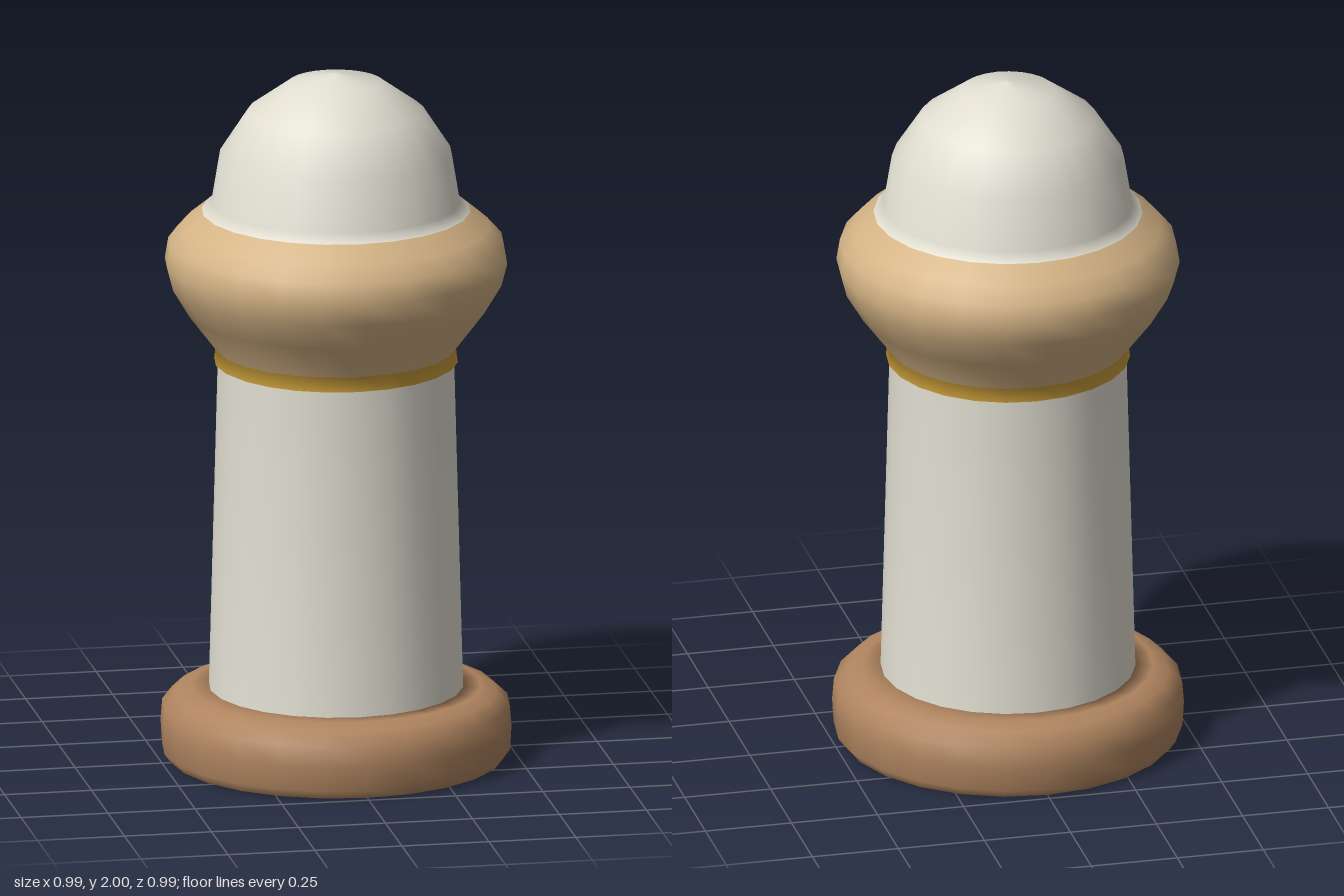
import * as THREE from 'three';

const SIDES = 24;

// Silhouette from foot to crown: [radius, height]
const profile = [
  [0.475, 0.005], [0.493, 0.03], [0.497, 0.1], [0.492, 0.16], [0.455, 0.195], [0.41, 0.21], [0.36, 0.21],
  [0.335, 1.155],
  [0.345, 1.16], [0.34, 1.2],
  [0.42, 1.305], [0.468, 1.385], [0.485, 1.45], [0.475, 1.51], [0.435, 1.555], [0.38, 1.6],
  [0.352, 1.625], [0.328, 1.77], [0.25, 1.89], [0.132, 1.974], [0, 2],
];

// Keep the rings from..to of the full turned shape, so shading flows between parts
function band(full, from, to) {
  const n = profile.length;
  const geometry = full.clone();
  const index = [];
  for (let i = 0; i < SIDES; i++) {
    for (let j = from; j < to; j++) {
      const a = i * n + j, b = a + n;
      index.push(a, b, a + 1, b + 1, a + 1, b);
    }
  }
  geometry.setIndex(index);
  return geometry;
}

function material(name, color) {
  const m = new THREE.MeshStandardMaterial({ color });
  m.name = name;
  return m;
}

export function createModel() {
  const group = new THREE.Group();
  group.name = 'turnedPeg';
  const white = material('offWhite', 0xe0ddd0);
  const brown = material('brownWood', 0xb08560);
  const sand = material('lightWood', 0xd4b385);
  const gold = material('gold', 0xd0a23c);

  const add = (name, geometry, mat) => {
    const mesh = new THREE.Mesh(geometry, mat);
    mesh.name = name;
    group.add(mesh);
    return mesh;
  };

  const full = new THREE.LatheGeometry(profile.map(([r, y]) => new THREE.Vector2(r, y)), SIDES);
  add('base', band(full, 0, 6), brown);
  add('column', band(full, 6, 7), white);
  add('goldRing', band(full, 7, 9), gold);
  add('collar', band(full, 9, 15), sand);
  add('dome', band(full, 15, 20), white);

  // Flat underside with a sharp edge
  const underside = add('underside', new THREE.CircleGeometry(0.475, SIDES), brown);
  underside.rotation.x = Math.PI / 2;
  underside.position.y = 0.005;

  // Rest exactly on the ground
  group.children.forEach((part) => { part.position.y -= 0.005; });
  return group;
}
